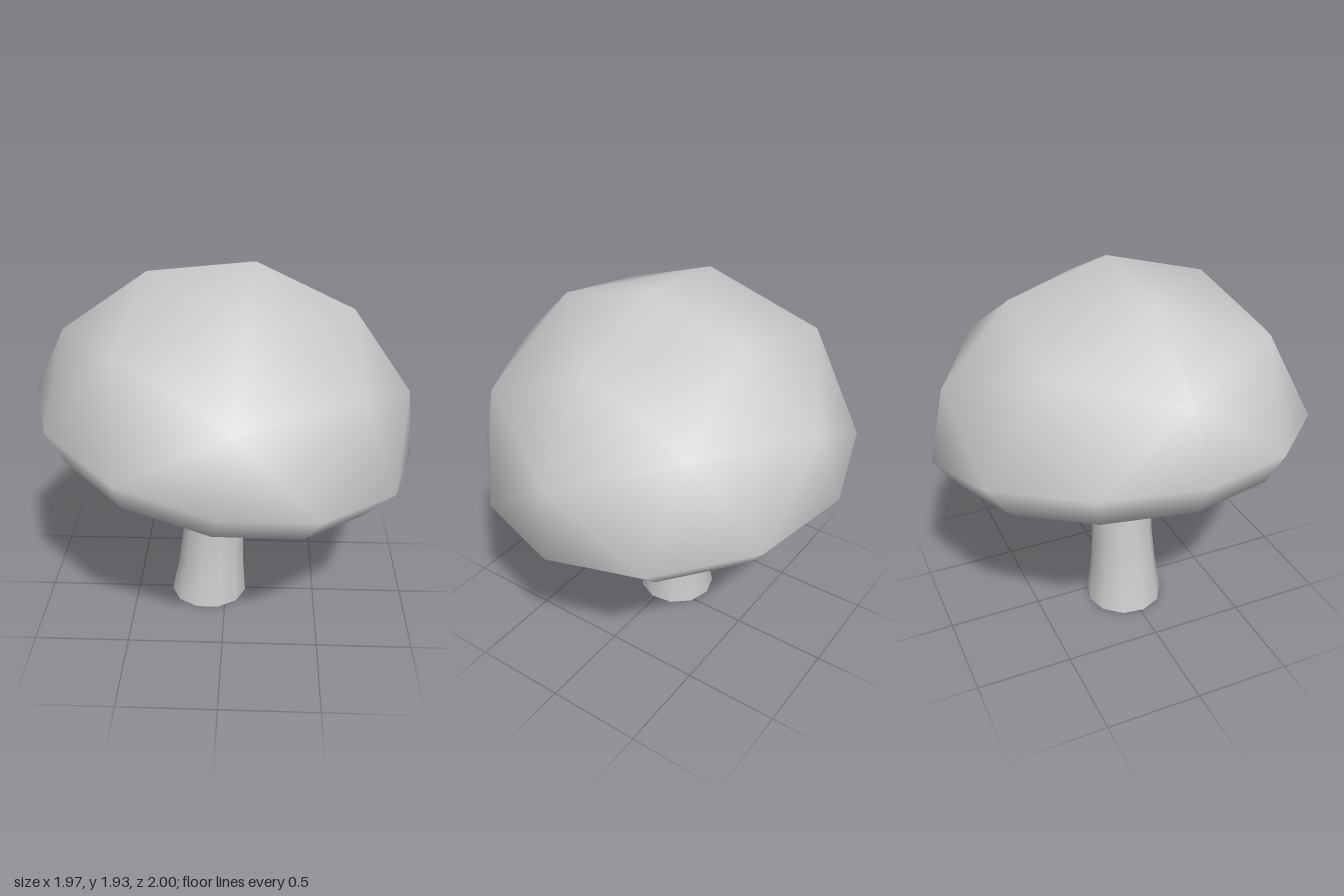
import * as THREE from 'three';
import { mergeVertices } from 'three/addons/utils/BufferGeometryUtils.js';

// Rings of the cap from the top down; each lists one quadrant as [degrees, radius, height]
const capRings = [
  [[0, 0, 1.045]],
  [[0, 0.523, 0.9]],
  [[0, 0.903, 0.523], [45, 0.817, 0.662]],
  [[0, 1, 0.168], [28.8, 0.985, 0.168], [61.2, 0.985, 0.168]],
  [[0, 0.863, 0], [30, 0.863, 0], [60, 0.863, 0]],
  // hollowed underside
  [[0, 0.575, 0.055], [45, 0.575, 0.055]],
  [[0, 0.29, 0.11]],
  [[0, 0, 0.165]],
];

// Turns the quadrant rings into a closed surface, octahedron style
function ringSurface(rings) {
  const positions = [], index = [], starts = [];
  const sides = (ring) => (ring[0][1] === 0 ? 0 : ring.length);
  for (const ring of rings) {
    starts.push(positions.length / 3);
    for (let q = 0; q < Math.max(1, 4 * Math.sign(sides(ring))); q++) {
      for (const [degrees, r, h] of ring) {
        const a = THREE.MathUtils.degToRad(degrees + 90 * q);
        positions.push(r * Math.cos(a), h, r * Math.sin(a));
      }
    }
  }
  for (let k = 0; k + 1 < rings.length; k++) {
    const flip = sides(rings[k]) > sides(rings[k + 1]);
    const [small, big] = flip ? [k + 1, k] : [k, k + 1];
    const a = sides(rings[small]), b = sides(rings[big]);
    const at = (ring, n, q, j) => starts[ring] + (q * n + j) % Math.max(1, 4 * n);
    const face = (i, j, l) => index.push(...(flip ? [i, l, j] : [i, j, l]));
    for (let q = 0; q < 4; q++) {
      for (let j = 0; j < b; j++) face(at(big, b, q, j), at(small, a, q, j), at(big, b, q, j + 1));
      for (let j = 0; j < a; j++) face(at(small, a, q, j), at(small, a, q, j + 1), at(big, b, q, j + 1));
    }
  }
  const geometry = new THREE.BufferGeometry();
  geometry.setAttribute('position', new THREE.Float32BufferAttribute(positions, 3));
  geometry.setIndex(index);
  geometry.computeVertexNormals();
  return geometry;
}

// Open eleven-sided tube through rings of [y, centre x, radius]
function stemSurface(rings) {
  const tube = new THREE.CylinderGeometry(1, 1, 1, 11, rings.length - 1, true, Math.PI);
  const p = tube.attributes.position;
  for (let i = 0; i < p.count; i++) {
    const [y, cx, r] = rings[Math.round((p.getY(i) + 0.5) * (rings.length - 1))];
    p.setXYZ(i, cx + p.getX(i) * r, y, p.getZ(i) * r - 0.01);
  }
  // weld the seam so the shading is continuous
  tube.deleteAttribute('uv');
  tube.deleteAttribute('normal');
  const welded = mergeVertices(tube, 1e-4);
  welded.computeVertexNormals();
  return welded;
}

export function createModel() {
  const group = new THREE.Group();
  group.name = 'mushroom';
  const material = new THREE.MeshStandardMaterial({ color: 0xcccccc, side: THREE.DoubleSide });

  // Cap: faceted dome tilted towards +x
  const cap = new THREE.Mesh(ringSurface(capRings), material);
  cap.name = 'cap';
  cap.position.set(-0.03, 0.897, 0);
  cap.rotation.z = THREE.MathUtils.degToRad(-10);
  group.add(cap);

  // Stem: flared at the foot and bending towards +x
  const stem = new THREE.Mesh(stemSurface([[0, -0.096, 0.21], [0.2, -0.082, 0.183],
    [0.4, -0.069, 0.168], [0.65, -0.047, 0.166], [1.07, -0.01, 0.166]]), material);
  stem.name = 'stem';
  group.add(stem);

  return group;
}
